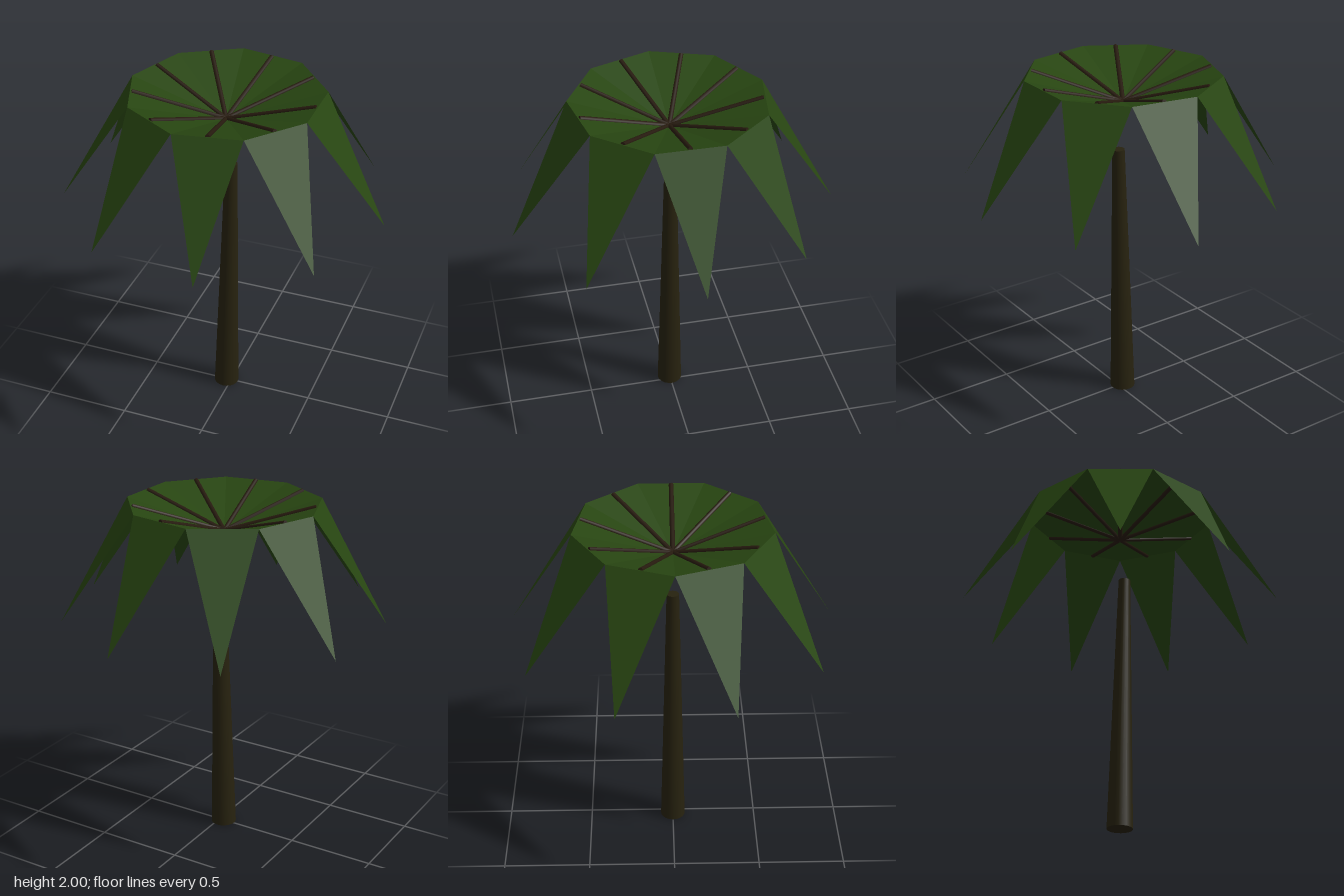
import * as THREE from 'three';

const FRONDS = 9;
const CENTRE_X = -0.03;
const STEP = (Math.PI * 2) / FRONDS;
const HUB = new THREE.Vector3(CENTRE_X, 1.825, 0);

// Point on a circle around the canopy axis
function ring(angle, radius, y) {
  return new THREE.Vector3(CENTRE_X + Math.cos(angle) * radius, y, Math.sin(angle) * radius);
}

// Cylinder running between two points
function rod(from, to, r0, r1, sides, material, name) {
  const dir = to.clone().sub(from);
  const mesh = new THREE.Mesh(new THREE.CylinderGeometry(r1, r0, dir.length(), sides), material);
  mesh.position.copy(from).add(to).multiplyScalar(0.5);
  mesh.quaternion.setFromUnitVectors(new THREE.Vector3(0, 1, 0), dir.normalize());
  mesh.name = name;
  return mesh;
}

export function createModel() {
  const leaf = new THREE.MeshStandardMaterial({ color: 0x274511, side: THREE.DoubleSide, flatShading: true });
  leaf.name = 'leaf green';
  const bark = new THREE.MeshStandardMaterial({ color: 0x27220f });
  bark.name = 'bark brown';
  const stem = new THREE.MeshStandardMaterial({ color: 0x261a0e });
  stem.name = 'stem brown';

  const model = new THREE.Group();
  model.name = 'palmTree';

  // Slightly leaning, tapered trunk
  model.add(rod(new THREE.Vector3(CENTRE_X, 0.001, 0), new THREE.Vector3(0, 1.55, 0),
    0.073, 0.035, 20, bark, 'trunk'));

  // Fronds: each rises from the hub to the rim, then folds down to a point
  const canopy = new THREE.Group();
  canopy.name = 'canopy';
  for (let i = 0; i < FRONDS; i++) {
    const a = i * STEP;
    const v0 = ring(a - STEP / 2, 0.55, 1.99);
    const v1 = ring(a + STEP / 2, 0.55, 1.99);
    const tip = ring(a, 0.92, 1.34);
    const geometry = new THREE.BufferGeometry().setFromPoints([HUB, v1, v0, v0, v1, tip]);
    geometry.computeVertexNormals();
    const frond = new THREE.Mesh(geometry, leaf);
    frond.name = 'frond';
    canopy.add(frond);

    // Rib along the middle of the inner part
    canopy.add(rod(HUB, ring(a, 0.508, 1.987), 0.0135, 0.0135, 8, stem, 'rib'));
  }
  model.add(canopy);
  return model;
}
